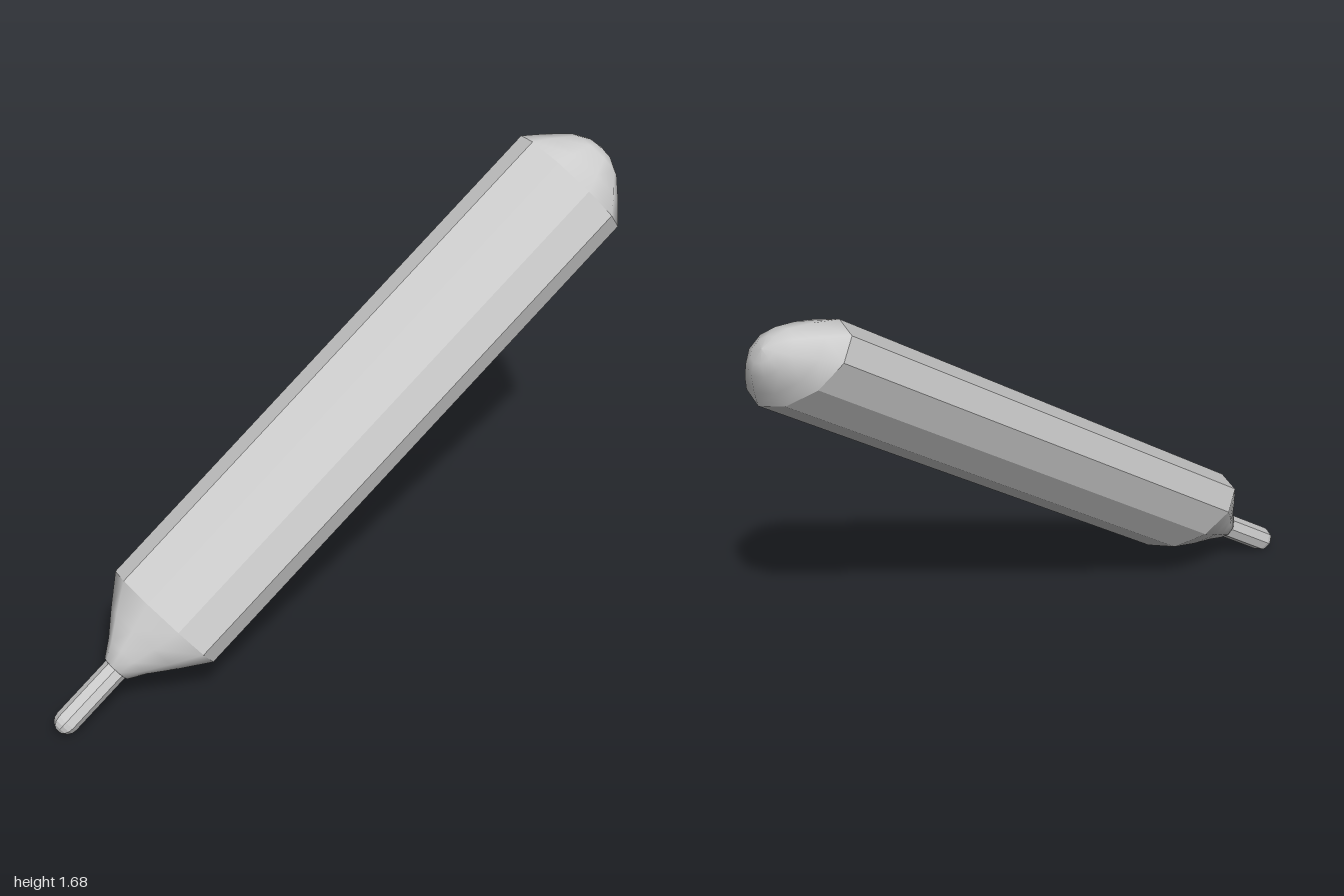
import * as THREE from 'three';

// Skin rings of [height, radiusX, radiusZ] along the y axis.
function loft(rings, sides) {
  const pos = [], idx = [];
  for (const [y, rx, rz] of rings)
    for (let i = 0; i < sides; i++) {
      const t = (i / sides) * Math.PI * 2;
      pos.push(rx * Math.cos(t), y, rz * Math.sin(t));
    }
  for (let r = 0; r < rings.length - 1; r++)
    for (let i = 0; i < sides; i++) {
      const j = (i + 1) % sides;
      const a = r * sides + i, b = r * sides + j, c = a + sides, d = b + sides;
      idx.push(a, c, b, b, c, d);
    }
  const geo = new THREE.BufferGeometry();
  geo.setAttribute('position', new THREE.Float32BufferAttribute(pos, 3));
  geo.setIndex(idx);
  geo.computeVertexNormals();
  return geo;
}

export function createModel() {
  const group = new THREE.Group();
  group.name = 'stylus';
  const smooth = new THREE.MeshStandardMaterial({ color: 0xcccccc });
  const flat = new THREE.MeshStandardMaterial({ color: 0xcccccc, flatShading: true });
  const W = 0.226, D = 0.128, SIDES = 10;

  const add = (name, rings, sides, material) => {
    const mesh = new THREE.Mesh(loft(rings, sides), material);
    mesh.name = name;
    group.add(mesh);
  };

  // Flattened ten-sided barrel
  add('barrel', [[-0.36, W, D], [1.66, W, D]], SIDES, flat);

  // Rounded end
  add('endCap', [
    [1.66, W, D], [1.72, W * 0.76, D * 0.84], [1.785, W * 0.46, D * 0.6],
    [1.81, W * 0.25, D * 0.33], [1.82, 0, 0],
  ], SIDES, smooth);

  // Taper from the flat barrel to the round nib
  add('taper', [
    [-0.61, 0, 0], [-0.6, 0.052, 0.05], [-0.54, 0.09, 0.068],
    [-0.46, 0.153, 0.098], [-0.36, W, D],
  ], SIDES, smooth);

  // Thin nib with a domed tip
  const R = 0.044, nib = [];
  for (let i = 0; i <= 4; i++) {
    const a = (i / 4) * Math.PI / 2;
    nib.push([-0.843 - R * Math.cos(a), R * Math.sin(a), R * Math.sin(a)]);
  }
  nib.push([-0.55, R, R]);
  add('nib', nib, 8, flat);

  // Lean the whole stylus along its diagonal
  const axis = new THREE.Vector3(0.715, 0.595, -0.366).normalize();
  const wide = new THREE.Vector3(-0.697, 0.578, -0.423);
  wide.addScaledVector(axis, -wide.dot(axis)).normalize();
  const thin = new THREE.Vector3().crossVectors(wide, axis);
  group.quaternion.setFromRotationMatrix(new THREE.Matrix4().makeBasis(wide, axis, thin));
  group.position.set(-0.36, 0.55, 0.193);

  const root = new THREE.Group();
  root.name = 'model';
  root.add(group);
  return root;
}
